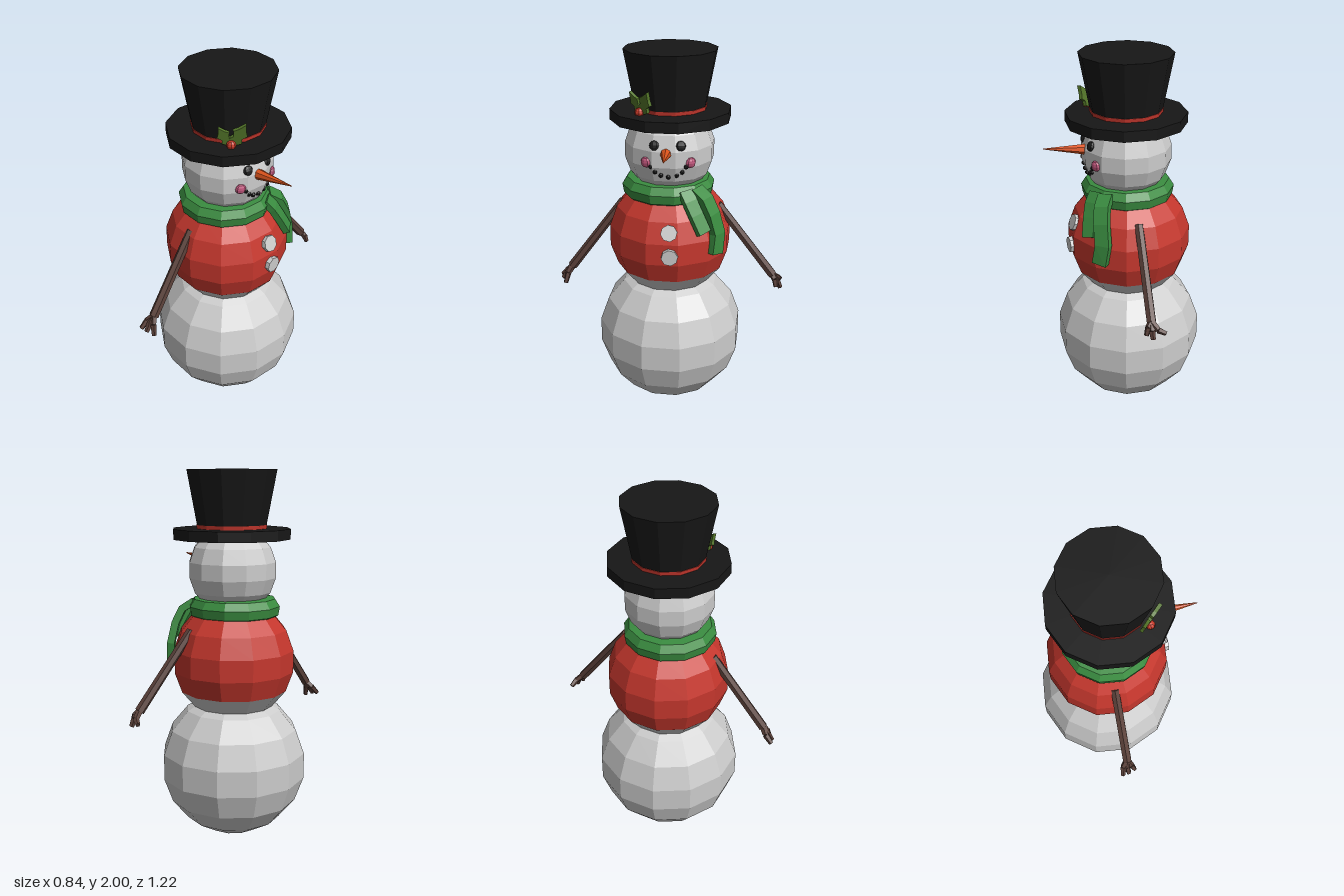
import * as THREE from 'three';

const mat = (color) => new THREE.MeshStandardMaterial({ color, flatShading: true });
const M = {
  snow: mat(0xcccccc), red: mat(0xc5372d), green: mat(0x3a8c40), black: mat(0x171717),
  coal: mat(0x1c1c1c), wood: mat(0x5a4039), carrot: mat(0xdd541c), pink: mat(0xc4587f),
  leaf: mat(0x55782a), berry: mat(0xc93a28),
};
const V = (x, y, z) => new THREE.Vector3(x, y, z);
const UP = V(0, 1, 0);

export function createModel() {
  const root = new THREE.Group();
  root.name = 'snowman';

  function add(name, geometry, material, pos = V(0, 0, 0), parent = root) {
    const m = new THREE.Mesh(geometry, material);
    m.name = name;
    m.position.copy(pos);
    parent.add(m);
    return m;
  }

  // Tapered rod between two points
  function rod(name, a, b, ra, rb, material, sides = 6, parent = root) {
    const d = b.clone().sub(a);
    const m = add(name, new THREE.CylinderGeometry(rb, ra, d.length(), sides), material,
      a.clone().add(b).multiplyScalar(0.5), parent);
    m.quaternion.setFromUnitVectors(UP, d.normalize());
    return m;
  }

  // Snowballs; the middle one wears a sweater down to its lower third
  const bodyC = V(-0.03, 0.99, 0), headC = V(-0.018, 1.478, 0.004);
  add('lowerBody', new THREE.SphereGeometry(0.403, 12, 9), M.snow, V(-0.03, 0.405, 0));
  add('sweater', new THREE.SphereGeometry(0.335, 12, 6, 0, Math.PI * 2, 0, Math.PI * 2 / 3), M.red, bodyC);
  add('middleBody', new THREE.SphereGeometry(0.335, 12, 3, 0, Math.PI * 2, Math.PI * 2 / 3, Math.PI / 3), M.snow, bodyC);
  add('head', new THREE.SphereGeometry(0.24, 12, 9), M.snow, headC);

  // Point on the +x side of a ball at the given height and depth
  function onBall(c, r, y, z) {
    const dy = y - c.y, dz = z - c.z;
    return V(c.x + Math.sqrt(r * r - dy * dy - dz * dz), y, z);
  }

  // Face
  const face = new THREE.Group();
  face.name = 'face';
  root.add(face);
  const dot = (name, y, z, r, material, seg, flat = 0.6) => {
    const p = onBall(headC, 0.233, y, z);
    const m = add(name, new THREE.SphereGeometry(r, seg, seg - 2), material, p, face);
    m.quaternion.setFromUnitVectors(V(1, 0, 0), p.clone().sub(headC).normalize());
    m.scale.x = flat;
  };
  for (const z of [0.108, -0.025]) dot('eye', 1.55, z, 0.026, M.coal, 8);
  for (const z of [0.15, -0.076]) dot('cheek', 1.46, z, 0.028, M.pink, 8);
  const smile = [[1.44, 0.125], [1.413, 0.104], [1.395, 0.075], [1.386, 0.038], [1.395, -0.004], [1.412, -0.032], [1.44, -0.051]];
  for (const [y, z] of smile) dot('mouthCoal', y, z, 0.013, M.coal, 6, 1);
  rod('carrotNose', V(0.18, 1.508, 0.048), V(0.415, 1.536, 0.088), 0.031, 0.002, M.carrot, 7, face);

  // Hat
  const hat = new THREE.Group();
  hat.name = 'hat';
  hat.position.set(-0.015, 0, 0);
  root.add(hat);
  add('hatBrim', new THREE.CylinderGeometry(0.317, 0.317, 0.055, 12), M.black, V(0, 1.668, 0), hat);
  add('hatCrown', new THREE.CylinderGeometry(0.243, 0.184, 0.31, 12), M.black, V(0, 1.845, 0), hat);
  add('hatBand', new THREE.CylinderGeometry(0.192, 0.189, 0.022, 12), M.red, V(0, 1.704, 0), hat);

  // Holly sprig on the hat band
  const holly = new THREE.Group();
  holly.name = 'holly';
  holly.position.set(0.108, 1.708, 0.155);
  holly.rotation.y = 0.64;
  root.add(holly);
  const half = [[0.012, 0], [0.034, 0.022], [0.022, 0.045], [0.038, 0.072], [0.022, 0.09]];
  const outline = [...half, [0, 0.13], ...half.map(([x, y]) => [-x, y]).reverse()];
  const leafGeo = new THREE.ExtrudeGeometry(
    new THREE.Shape(outline.map(([x, y]) => new THREE.Vector2(x, y))), { depth: 0.018, bevelEnabled: false });
  for (const [x, turn, size] of [[-0.008, 0.5, 0.88], [0.01, -0.48, 1.02]]) {
    const l = add('hollyLeaf', leafGeo, M.leaf, V(x, 0, 0), holly);
    l.rotation.set(0.2, 0, turn, 'XYZ');
    l.scale.setScalar(size);
  }
  add('hollyBerry', new THREE.SphereGeometry(0.024, 8, 6), M.berry, V(0, 0, 0.025), holly);

  // Scarf collar
  const collar = [[0.15, 1.235], [0.205, 1.215], [0.24, 1.238], [0.248, 1.285], [0.222, 1.325], [0.17, 1.33], [0.15, 1.235]];
  add('scarfCollar', new THREE.LatheGeometry(collar.map(([x, y]) => new THREE.Vector2(x, y)), 12),
    M.green, V(-0.028, 0, 0.01));

  // Flat strip swept along a path lying on the body
  function strip(path, w, h) {
    const pos = [], idx = [], n = path.length;
    path.forEach((p, i) => {
      const t = path[Math.min(i + 1, n - 1)].clone().sub(path[Math.max(i - 1, 0)]).normalize();
      const out = p.clone().sub(bodyC);
      out.addScaledVector(t, -out.dot(t)).normalize();
      const s = t.clone().cross(out);
      for (const [a, b] of [[1, 1], [-1, 1], [-1, -1], [1, -1]])
        pos.push(...p.clone().addScaledVector(s, a * w / 2).addScaledVector(out, b * h / 2).toArray());
    });
    for (let i = 0; i < n - 1; i++) {
      for (let k = 0; k < 4; k++) {
        const a = i * 4 + k, b = i * 4 + (k + 1) % 4;
        idx.push(a, a + 4, b + 4, a, b + 4, b);
      }
    }
    const e = (n - 1) * 4;
    idx.push(0, 1, 2, 0, 2, 3, e, e + 2, e + 1, e, e + 3, e + 2);
    const g = new THREE.BufferGeometry();
    g.setAttribute('position', new THREE.Float32BufferAttribute(pos, 3));
    g.setIndex(idx);
    const flat = g.toNonIndexed();
    flat.computeVertexNormals();
    return flat;
  }
  add('scarfLongTail', strip([V(0.16, 1.3, -0.11), V(0.205, 1.26, -0.155), V(0.225, 1.185, -0.187),
    V(0.232, 1.08, -0.215), V(0.245, 0.972, -0.203)], 0.078, 0.04), M.green);
  add('scarfShortTail', strip([V(0.185, 1.3, -0.05), V(0.22, 1.255, -0.07), V(0.245, 1.19, -0.098),
    V(0.272, 1.1, -0.137)], 0.072, 0.036), M.green);

  // Buttons
  for (const y of [1.11, 0.985]) {
    const p = onBall(bodyC, 0.33, y, 0.045);
    const b = add('button', new THREE.CylinderGeometry(0.044, 0.044, 0.024, 8), M.snow, p);
    b.quaternion.setFromUnitVectors(UP, p.clone().sub(bodyC).normalize());
  }

  // Twig arms with three bent fingers each
  function arm(name, shoulder, wrist, fingers) {
    const g = new THREE.Group();
    g.name = name;
    root.add(g);
    rod('twig', shoulder, wrist, 0.024, 0.026, M.wood, 6, g);
    for (const [knuckle, tip] of fingers) {
      rod('finger', wrist, knuckle, 0.019, 0.016, M.wood, 5, g);
      rod('fingerTip', knuckle, tip, 0.017, 0.013, M.wood, 5, g);
    }
  }
  arm('leftArm', V(0.045, 1.17, -0.25), V(0.132, 0.775, -0.545), [
    [V(0.115, 0.745, -0.585), V(0.08, 0.725, -0.603)],
    [V(0.143, 0.74, -0.572), V(0.146, 0.7, -0.59)],
    [V(0.155, 0.755, -0.555), V(0.168, 0.715, -0.56)],
  ]);
  arm('rightArm', V(-0.078, 1.17, 0.25), V(-0.115, 0.775, 0.545), [
    [V(-0.145, 0.745, 0.565), V(-0.16, 0.705, 0.6)],
    [V(-0.122, 0.74, 0.572), V(-0.125, 0.7, 0.6)],
    [V(-0.1, 0.74, 0.57), V(-0.085, 0.685, 0.587)],
  ]);

  return root;
}
